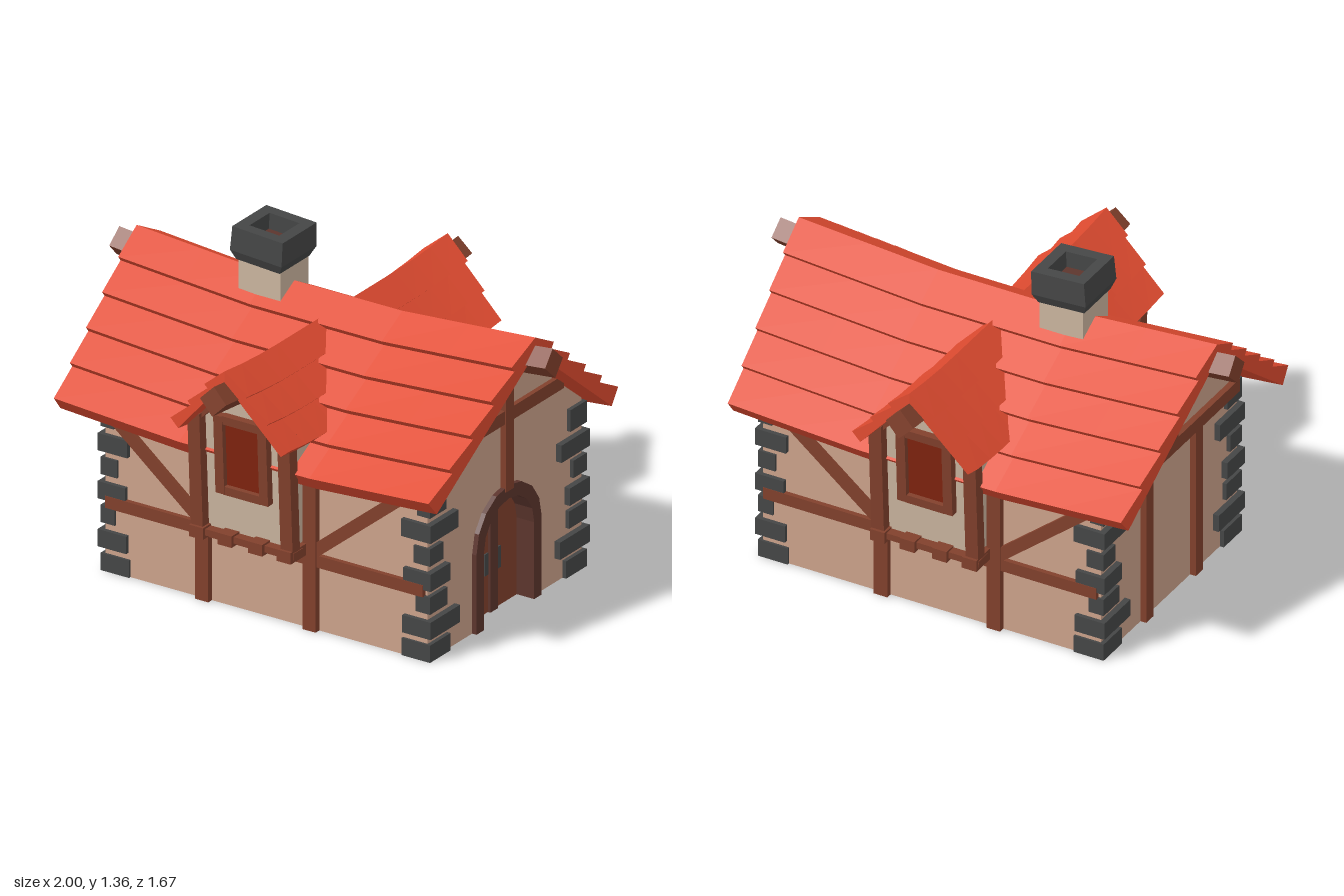
import * as THREE from 'three';

const material = (name, color) => new THREE.MeshStandardMaterial({ name, color });

export function createModel() {
  const plaster = material('pinkPlaster', 0xcca28b);
  const paleWall = material('palePlaster', 0xcbb59f);
  const wood = material('timber', 0x81402c);
  const darkWood = material('darkTimber', 0x5c352d);
  const tile = material('redTiles', 0xe04b30);
  const stone = material('darkStone', 0x454646);
  const glass = material('windowRed', 0x80230f);

  const house = new THREE.Group();
  house.name = 'cottage';
  const CZ = -0.015; // ridge line

  // ---- helpers ----
  const add = (parent, name, geo, mat) => {
    const m = new THREE.Mesh(geo, mat);
    m.name = name;
    parent.add(m);
    return m;
  };
  const facet = (geo) => {
    const g = geo.index ? geo.toNonIndexed() : geo;
    g.computeVertexNormals();
    return g;
  };
  const box = (parent, name, mat, x0, x1, y0, y1, z0, z1) => {
    const m = add(parent, name, new THREE.BoxGeometry(x1 - x0, y1 - y0, z1 - z0), mat);
    m.position.set((x0 + x1) / 2, (y0 + y1) / 2, (z0 + z1) / 2);
    return m;
  };
  // timber lying on a wall face, from (x0,y0) to (x1,y1), centred at depth z
  const timber = (parent, name, x0, y0, x1, y1, w, z, d = 0.05, mat = wood) => {
    const m = add(parent, name, new THREE.BoxGeometry(Math.hypot(x1 - x0, y1 - y0), w, d), mat);
    m.position.set((x0 + x1) / 2, (y0 + y1) / 2, z);
    m.rotation.z = Math.atan2(y1 - y0, x1 - x0);
    return m;
  };
  const shapeOf = (pts) => new THREE.Shape(pts.map(([x, y]) => new THREE.Vector2(x, y)));
  const slab = (pts, z0, z1, steps = 1) =>
    new THREE.ExtrudeGeometry(shapeOf(pts), { depth: z1 - z0, steps, bevelEnabled: false }).translate(0, 0, z0);
  const warp = (geo, rule) => {
    const p = geo.attributes.position;
    const v = new THREE.Vector3();
    for (let i = 0; i < p.count; i++) {
      rule(v.fromBufferAttribute(p, i));
      p.setXYZ(i, v.x, v.y, v.z);
    }
    return facet(geo);
  };
  // arch outline from left foot over the top to right foot
  const arch = (w, spring, top, n = 8) => {
    const pts = [[-w, 0]];
    for (let i = 0; i <= n; i++) {
      const a = Math.PI * (1 - i / n);
      pts.push([w * Math.cos(a), spring + (top - spring) * Math.sin(a)]);
    }
    pts.push([w, 0]);
    return pts;
  };
  // saw-toothed gable roof section
  const roofSection = (W, H, D, rows, step, th) => {
    const len = Math.hypot(W, D), nx = D / len, ny = W / len;
    const half = [];
    for (let i = 0; i < rows; i++) {
      const a = i / rows, b = (i + 1) / rows;
      half.push([W * a, H - D * a], [W * b + nx * step, H - D * b + ny * step]);
    }
    half.push([W - nx * th, H - D - ny * th]);
    const mirror = half.slice(1).reverse().map(([x, y]) => [-x, y]);
    return [...half, [0, H - th / ny], ...mirror];
  };

  // ---- wall groups: local +z points out of each wall ----
  const side = (name, angle) => {
    const g = new THREE.Group();
    g.name = name;
    g.rotation.y = angle;
    g.position.z = CZ;
    house.add(g);
    return g;
  };
  const doorEnd = side('doorEnd', Math.PI / 2);
  const plainEnd = side('plainEnd', -Math.PI / 2);

  // ---- body, with a recess for the door ----
  const eaves = [[0.52, 0.70], [0, 1.115], [-0.52, 0.70]];
  add(doorEnd, 'houseBody', slab([[-0.52, 0], [0.52, 0], ...eaves], -0.70, 0.68), plaster);
  add(doorEnd, 'doorWall', slab([[-0.52, 0], ...arch(0.19, 0.33, 0.51), [0.52, 0], ...eaves], 0.68, 0.77), plaster);

  // ---- door end ----
  const inner = arch(0.17, 0.32, 0.485);
  add(doorEnd, 'doorFrame', slab([...arch(0.22, 0.33, 0.54), ...inner.slice().reverse()], 0.68, 0.79), darkWood);
  add(doorEnd, 'doorLeaves', slab(inner, 0.68, 0.71), wood);
  box(doorEnd, 'doorSeam', darkWood, -0.025, 0.025, 0, 0.484, 0.70, 0.722);
  for (const s of [-1, 1]) {
    const h = add(doorEnd, 'doorHandle', facet(new THREE.TorusGeometry(0.038, 0.01, 6, 6, Math.PI)), stone);
    h.rotation.set(0, -Math.PI / 2, Math.PI / 2, 'YXZ');
    h.rotation.set(0, Math.PI / 2, -Math.PI / 2, 'YXZ');
    h.position.set(s * 0.042, 0.205, 0.708);
    box(doorEnd, 'handlePlate', stone, s * 0.042 - 0.012, s * 0.042 + 0.012, 0.16, 0.25, 0.70, 0.716);
  }
  timber(doorEnd, 'gablePost', 0, 0.52, 0, 1.1, 0.055, 0.77);
  timber(doorEnd, 'gableRail', -0.37, 0.83, 0.37, 0.83, 0.055, 0.765);

  // ---- plain end ----
  timber(plainEnd, 'endRail', -0.5, 0.67, 0.5, 0.67, 0.055, 0.70);
  timber(plainEnd, 'gablePost', 0, 0.68, 0, 1.1, 0.055, 0.70);
  for (const s of [-1, 1]) timber(plainEnd, 'endPost', s * 0.19, 0, s * 0.19, 0.66, 0.055, 0.70);

  // ---- long sides with dormers ----
  for (const [name, angle, f] of [['frontSide', 0, 1], ['backSide', Math.PI, -1]]) {
    const g = side(name, angle);
    timber(g, 'wallRail', f * -0.69, 0.295, f * 0.76, 0.295, 0.05, 0.515);
    for (const s of [-1, 1]) {
      timber(g, 'wallPost', s * 0.245, 0, s * 0.245, 0.66, 0.06, 0.52);
      timber(g, 'wallBrace', s * 0.26, 0.33, s * 0.69, 0.68, 0.05, 0.515);
      // leaning dormer post
      const p = timber(g, 'dormerPost', s * 0.205, 0.34, s * 0.205, 0.84, 0.055, 0);
      p.geometry.translate(0, 0, 0.625);
      p.rotation.set(0.05, 0, Math.PI / 2, 'XYZ');
      p.position.set(s * 0.205, 0.62, 0);
      // short rafter under the dormer roof edge
      timber(g, 'dormerRafter', s * 0.225, 0.80, 0, 1.035, 0.045, 0.625, 0.04);
    }
    // dormer body, leaning outward towards the top
    const body = slab([[-0.21, 0.345], [0.21, 0.345], [0.21, 0.82], [0, 1.03], [-0.21, 0.82]], 0.2, 0.595);
    add(g, 'dormerWall', warp(body, (v) => { if (v.z > 0.4) v.z += (v.y - 0.34) * 0.05; }), paleWall);

    // window
    const win = new THREE.Group();
    win.name = 'dormerWindow';
    win.position.set(0, 0.685, 0.615);
    win.rotation.x = 0.05;
    g.add(win);
    for (const s of [-1, 1]) {
      box(win, 'windowStile', wood, s * 0.1 - 0.02, s * 0.1 + 0.02, -0.165, 0.165, -0.02, 0.03);
      box(win, 'windowRail', wood, -0.085, 0.085, s * 0.15 - 0.0175, s * 0.15 + 0.0175, -0.02, 0.028);
    }
    box(win, 'windowPane', glass, -0.085, 0.085, -0.14, 0.14, 0.0, 0.008);

    // sill and joists
    box(g, 'dormerSill', wood, -0.235, 0.235, 0.325, 0.352, 0.57, 0.635);
    for (const x of [-0.2, -0.07, 0.07, 0.2]) box(g, 'dormerJoist', wood, x - 0.032, x + 0.032, 0.312, 0.36, 0.5, 0.65);

    // dormer roof: flares and lifts at the outer end
    const droof = slab(roofSection(0.25, 1.075, 0.29, 3, 0.02, 0.03), 0.04, 0.755, 6);
    add(g, 'dormerRoof', warp(droof, (v) => {
      const k = Math.max(0, (v.z - 0.4) / 0.355);
      v.z -= k * 0.04 * Math.abs(v.x) / 0.26;
      v.x *= 1 + 0.03 * k;
      v.y += 0.022 * k * k;
    }), tile);
    const beam = add(g, 'dormerRidgeBeam', facet(new THREE.CylinderGeometry(0.06, 0.06, 0.4, 4)), wood);
    beam.rotation.x = Math.PI / 2 - 0.1;
    beam.position.set(0, 0.98, 0.632);
  }

  // ---- main roof: sagging ridge, ends drawn in towards the eaves ----
  const roof = slab(roofSection(0.605, 1.14, 0.485, 5, 0.028, 0.05), -0.91, 0.91, 6);
  add(doorEnd, 'mainRoof', warp(roof, (v) => {
    const k = Math.max(0, (Math.abs(v.z) - 0.3) / 0.61);
    v.z *= 1 - 0.066 * Math.abs(v.x) / 0.62 * Math.min(1, Math.abs(v.z));
    v.x *= 1 + 0.03 * k;
    v.y += 0.045 * k;
  }), tile);
  for (const s of [-1, 1]) {
    const beam = add(house, 'ridgeBeam', facet(new THREE.CylinderGeometry(0.06, 0.06, 0.4, 4)), wood);
    beam.rotation.z = s * (0.1 - Math.PI / 2);
    beam.position.set(s * 0.796, 1.08, CZ);
  }

  // ---- corner stones: [reach along x, reach along z] per course, bottom to top ----
  const courses = [[0.13, 0.14], [0.13, 0.20], [0.065, 0.12], [0.125, 0.135], [0.075, 0.09], [0.135, 0.19], [0.06, 0.11]];
  for (const sx of [-1, 1]) for (const sz of [-1, 1]) {
    courses.forEach(([rx, rz], i) => {
      const out = (i % 2) * 0.008;
      const cx = (sx > 0 ? 0.787 : 0.717) + out, cz = 0.53 + out;
      const xs = [sx * cx, sx * (cx - rx)].sort((a, b) => a - b);
      const zs = [sz * cz + CZ, sz * (cz - rz) + CZ].sort((a, b) => a - b);
      box(house, 'cornerStone', stone, xs[0], xs[1], i * 0.1, i * 0.1 + (i === 6 ? 0.09 : 0.072), zs[0], zs[1]);
    });
  }

  // ---- chimney ----
  const chimney = new THREE.Group();
  chimney.name = 'chimney';
  chimney.position.set(-0.285, 0, CZ);
  house.add(chimney);
  box(chimney, 'chimneyShaft', paleWall, -0.095, 0.095, 0.98, 1.23, -0.095, 0.095);
  const cap = new THREE.Group();
  cap.name = 'chimneyCap';
  cap.position.y = 1.28;
  cap.rotation.z = -0.06;
  chimney.add(cap);
  const profile = [[0, -0.07], [0.1, -0.07], [0.118, -0.03], [0.115, 0.07], [0.068, 0.07], [0.068, 0.0]];
  const ring = new THREE.LatheGeometry(profile.map(([r, y]) => new THREE.Vector2(r * Math.SQRT2, y)), 4);
  add(cap, 'capStone', facet(ring.rotateY(Math.PI / 4)), stone);
  box(cap, 'flueFloor', darkWood, -0.068, 0.068, -0.005, 0.003, -0.068, 0.068);

  return house;
}
